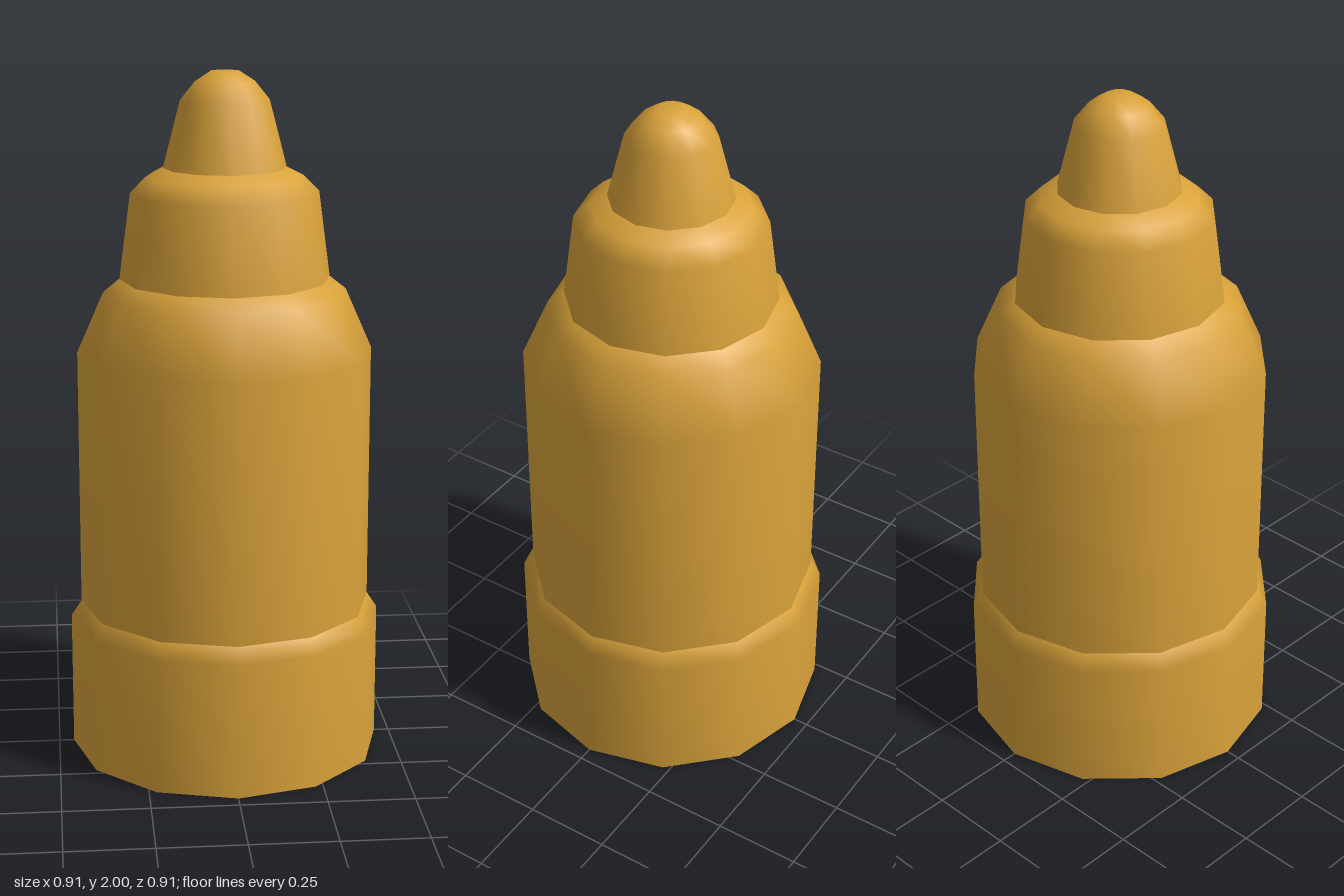
import * as THREE from 'three';

const SIDES = 12;

export function createModel() {
  const model = new THREE.Group();
  model.name = 'tieredBottle';
  const amber = new THREE.MeshStandardMaterial({ color: 0xd9a23a });
  amber.name = 'amber';

  // Each tier is a twelve-sided turned shell: [radius, height] from bottom to top
  const tiers = {
    base: [[0.457, 0], [0.457, 0.4], [0.427, 0.445]],
    body: [[0.427, 0.445], [0.427, 1.2], [0.35, 1.375], [0.303, 1.412]],
    collar: [[0.303, 1.412], [0.27, 1.66], [0.225, 1.705], [0.176, 1.73]],
    tip: [[0.176, 1.73], [0.127, 1.92], [0.085, 1.972], [0.042, 2], [0, 2]],
  };
  for (const [name, profile] of Object.entries(tiers)) {
    const points = profile.map(([r, y]) => new THREE.Vector2(r, y));
    const tier = new THREE.Mesh(new THREE.LatheGeometry(points, SIDES), amber);
    tier.name = name;
    model.add(tier);
  }

  // Flat underside
  const underside = new THREE.Mesh(new THREE.CircleGeometry(0.457, SIDES), amber);
  underside.name = 'underside';
  underside.rotation.x = Math.PI / 2;
  model.add(underside);

  return model;
}
